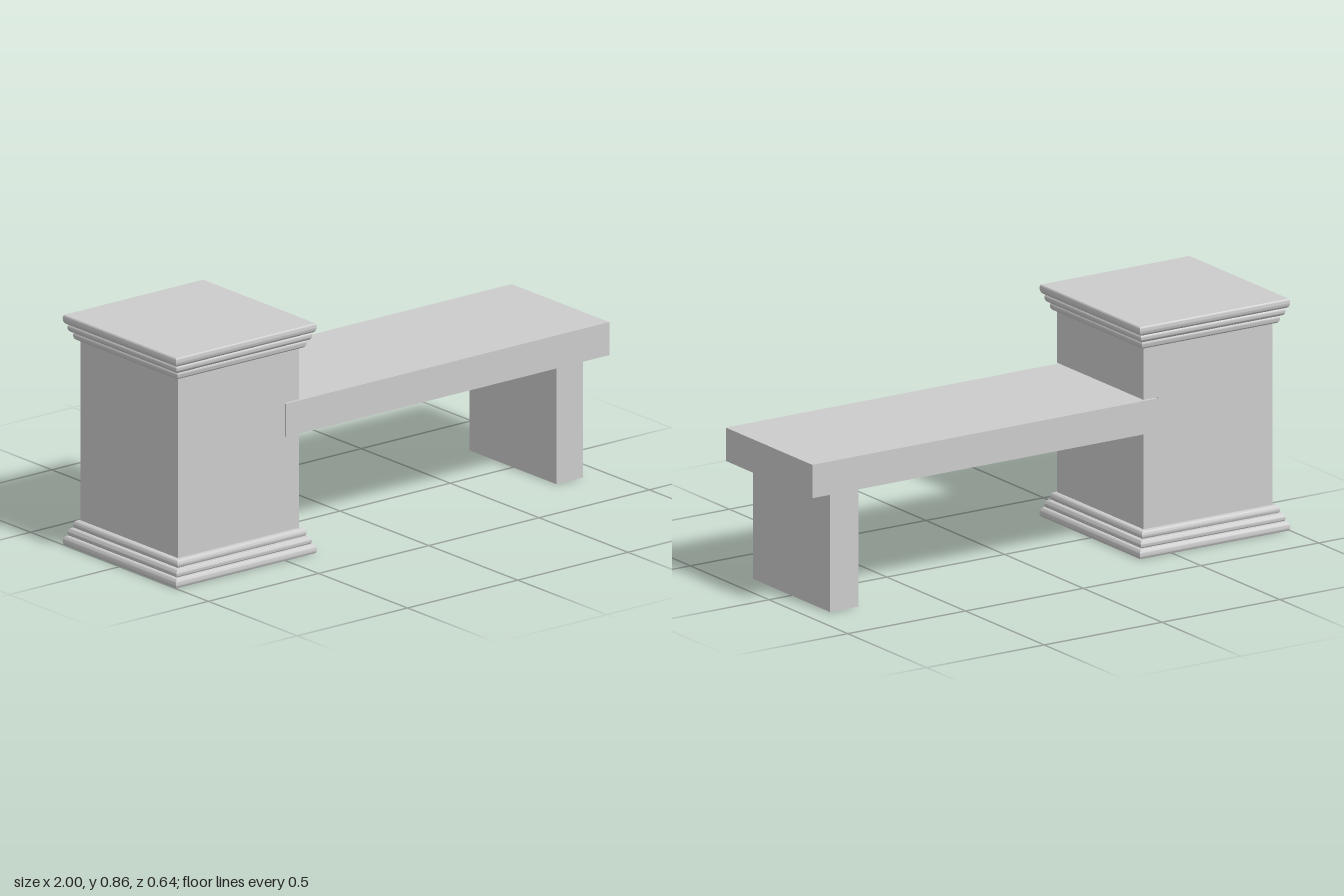
import * as THREE from 'three';
import { toCreasedNormals } from 'three/addons/utils/BufferGeometryUtils.js';

const PILLAR_X = -0.681, PILLAR_TOP = 0.855, BODY = 0.274;
const SEAT_BOTTOM = 0.443, SEAT_TOP = 0.566;

const material = new THREE.MeshStandardMaterial({ color: 0xcccccc });

function add(group, name, geometry, x = 0, y = 0, z = 0) {
  const mesh = new THREE.Mesh(geometry, material);
  mesh.name = name;
  mesh.position.set(x, y, z);
  group.add(mesh);
  return mesh;
}

// Box given by its x, y limits and half depth
function addSlab(group, name, x0, x1, y0, y1, halfDepth) {
  const geometry = new THREE.BoxGeometry(x1 - x0, y1 - y0, halfDepth * 2);
  return add(group, name, geometry, (x0 + x1) / 2, (y0 + y1) / 2, 0);
}

// Stepped square moulding: three rounded bands, widest at the bottom
// (or at the top when flipped)
function mouldingGeometry(flip) {
  const bands = [[0, 0.035, 0.319], [0.035, 0.064, 0.307], [0.064, 0.093, 0.293]];
  let points = [[0, 0]];
  for (const [y0, y1, half] of bands) {
    const mid = y0 + (y1 - y0) * 0.4;
    for (let i = 0; i <= 3; i++) {
      const a = (i / 3) * Math.PI / 2;
      points.push([half - 0.004 * (1 - Math.sin(a)), mid - (mid - y0) * Math.cos(a)]);
    }
    for (let i = 1; i <= 6; i++) {
      const a = (i / 6) * Math.PI / 2;
      points.push([half - 0.014 * (1 - Math.cos(a)), mid + (y1 - mid) * Math.sin(a)]);
    }
  }
  points.push([0, 0.093]);
  if (flip) points = points.map(([r, y]) => [r, PILLAR_TOP - y]).reverse();
  const profile = points.map(([r, y]) => new THREE.Vector2(r * Math.SQRT2, y));
  const lathe = new THREE.LatheGeometry(profile, 4, Math.PI / 4);
  return toCreasedNormals(lathe, 0.7);
}

// Square shaft with a notch on its left side that receives the seat
function shaftGeometry() {
  const notch = 0.212, bottom = 0.05, top = 0.81;
  const shape = new THREE.Shape([
    [-BODY, bottom], [BODY, bottom], [BODY, SEAT_BOTTOM], [notch, SEAT_BOTTOM],
    [notch, SEAT_TOP + 0.004], [BODY, SEAT_TOP + 0.004], [BODY, top], [-BODY, top],
  ].map(([x, y]) => new THREE.Vector2(x, y)));
  const geometry = new THREE.ExtrudeGeometry(shape, { depth: BODY * 2, bevelEnabled: false });
  return geometry.translate(0, 0, -BODY);
}

export function createModel() {
  const model = new THREE.Group();
  model.name = 'pillarBench';

  // Pillar with base and cap mouldings
  const pillar = new THREE.Group();
  pillar.name = 'pillar';
  pillar.position.x = PILLAR_X;
  add(pillar, 'pillarShaft', shaftGeometry());
  add(pillar, 'baseMoulding', mouldingGeometry(false));
  add(pillar, 'capMoulding', mouldingGeometry(true));
  model.add(pillar);

  // Seat let into the pillar, carried by one slab leg at the far end
  addSlab(model, 'seat', -0.467, 1, SEAT_BOTTOM, SEAT_TOP, 0.275);
  addSlab(model, 'leg', 0.785, 0.905, 0, SEAT_BOTTOM, 0.245);

  return model;
}
